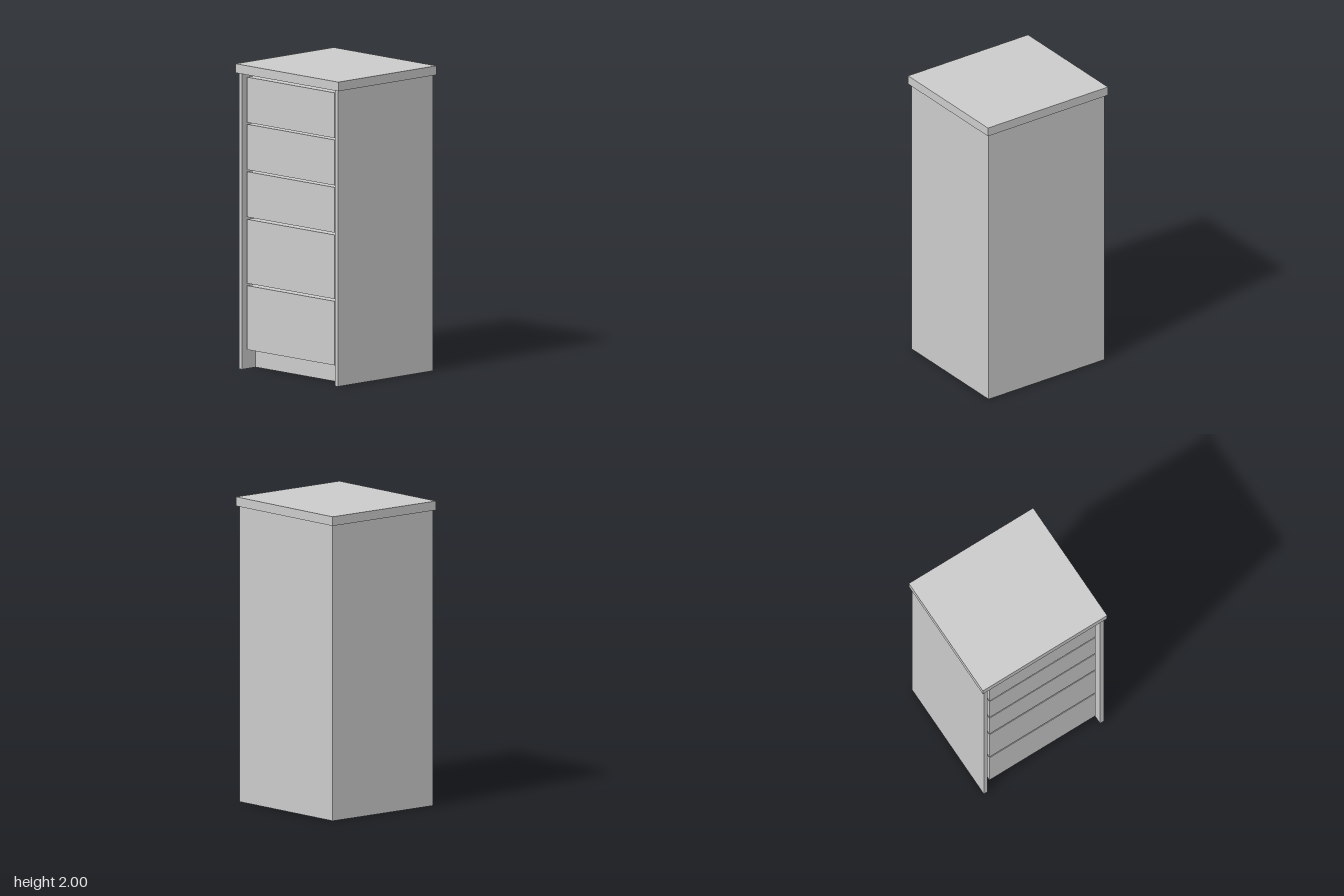
import * as THREE from 'three';

export function createModel() {
  const group = new THREE.Group();
  const material = new THREE.MeshStandardMaterial({ color: 0xcccccc, flatShading: true });

  // Box given by its extents along each axis
  function box(name, [x0, x1], [y0, y1], [z0, z1]) {
    const mesh = new THREE.Mesh(new THREE.BoxGeometry(x1 - x0, y1 - y0, z1 - z0), material);
    mesh.position.set((x0 + x1) / 2, (y0 + y1) / 2, (z0 + z1) / 2);
    mesh.name = name;
    group.add(mesh);
  }

  const underTop = 1.94, back = -0.425, front = 0.427, inner = 0.432, outer = 0.462;

  // Overhanging top board
  box('topBoard', [-0.478, 0.478], [underTop, 2], [-0.44, 0.44]);

  // Side panels reach forward of the drawers and down to the floor
  box('rightSidePanel', [-outer, -inner], [0, underTop], [back, front]);
  box('leftSidePanel', [inner, outer], [0, underTop], [back, front]);

  // Closed body; its front is also the recessed plinth
  box('carcass', [-inner, inner], [0, underTop], [back, 0.305]);

  // Two deep drawers below three shallow ones
  const drawers = [[0.13, 0.55], [0.565, 0.985], [1.0, 1.297], [1.31, 1.608], [1.62, 1.917]];
  drawers.forEach((span, i) => box(`drawerFront${i + 1}`, [-0.405, 0.41], span, [0.305, 0.406]));

  return group;
}
